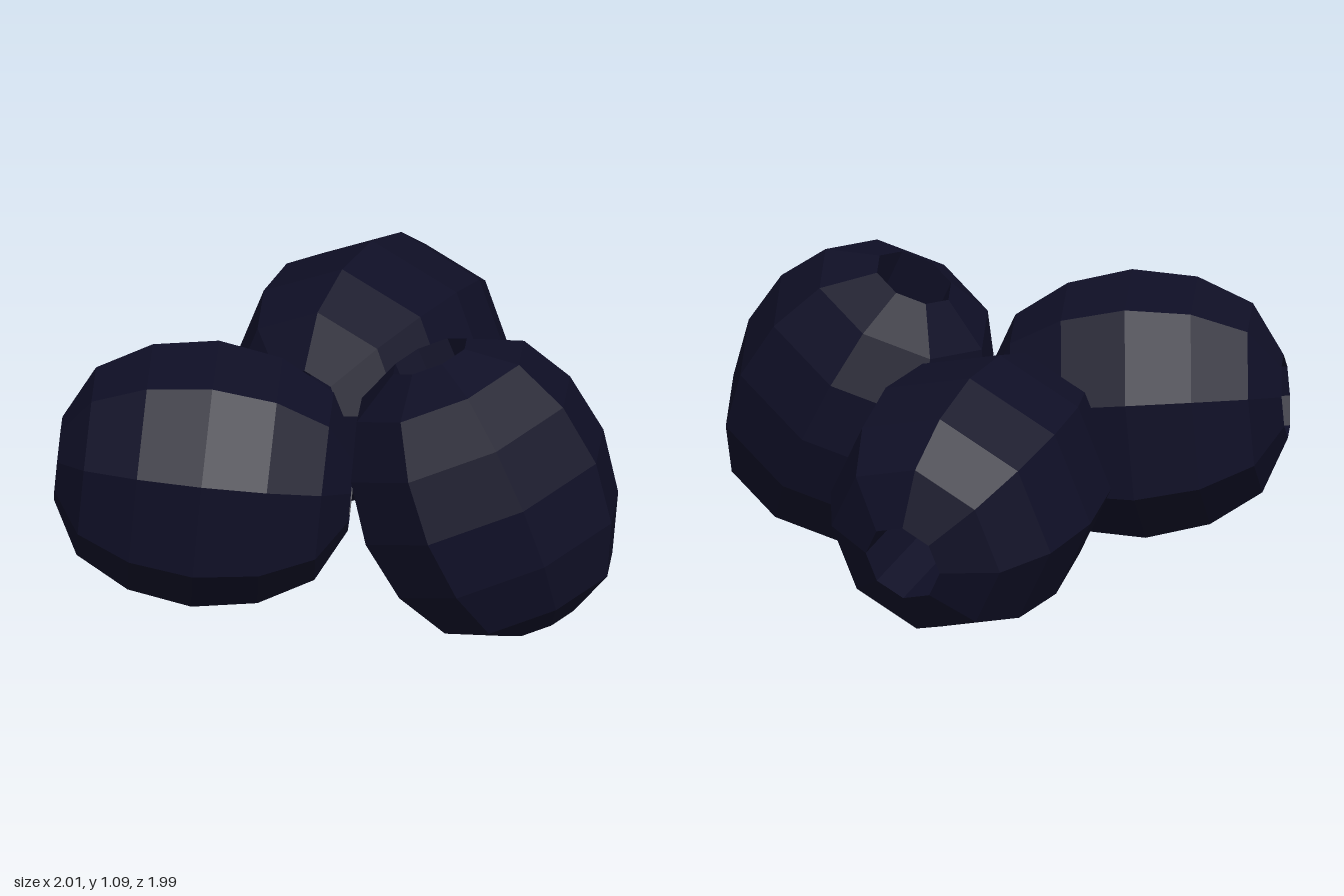
import * as THREE from 'three';

// Half profile of one fruit: [radius, distance along its axis], mirrored about the middle
const HALF = [[0.484, 0], [0.446, 0.235], [0.341, 0.43], [0.15, 0.532]];

function fruitGeometry(roll) {
  const upper = HALF.map(([r, a]) => new THREE.Vector2(r, a));
  const lower = HALF.slice(1).reverse().map(([r, a]) => new THREE.Vector2(r, -a));
  // outer skin from bottom to top, then back down through the bored hole
  const profile = [...lower, ...upper, lower[0].clone()];
  const geometry = new THREE.LatheGeometry(profile, 8).rotateY(roll).toNonIndexed();
  geometry.computeVertexNormals(); // flat facets
  return geometry;
}

export function createModel() {
  const group = new THREE.Group();
  group.name = 'berryCluster';
  const skin = new THREE.MeshStandardMaterial({ color: 0x0f0f26 });
  skin.name = 'dark navy';

  // Each fruit: centre, direction of its bored axis, direction its facets are turned to
  const fruits = [
    { name: 'leftBerry', at: [0.5, 0.55, 0.19], axis: [-0.407, 0.914, 0], ref: [0, 0, 1], roll: 0 },
    { name: 'backBerry', at: [-0.247, 0.553, -0.45], axis: [0.04, -0.15, -0.98], ref: [-0.07, 1, 0], roll: 0 },
    { name: 'rightBerry', at: [-0.455, 0.55, 0.52], axis: [0.93, -0.085, -0.36], ref: [0, 1, 0], roll: Math.PI / 8 },
  ];

  for (const { name, at, axis, ref, roll } of fruits) {
    const y = new THREE.Vector3(...axis).normalize();
    const x = y.clone().cross(new THREE.Vector3(...ref)).normalize();
    const z = x.clone().cross(y);
    const berry = new THREE.Mesh(fruitGeometry(roll), skin);
    berry.name = name;
    berry.quaternion.setFromRotationMatrix(new THREE.Matrix4().makeBasis(x, y, z));
    berry.position.set(...at);
    group.add(berry);
  }
  return group;
}
